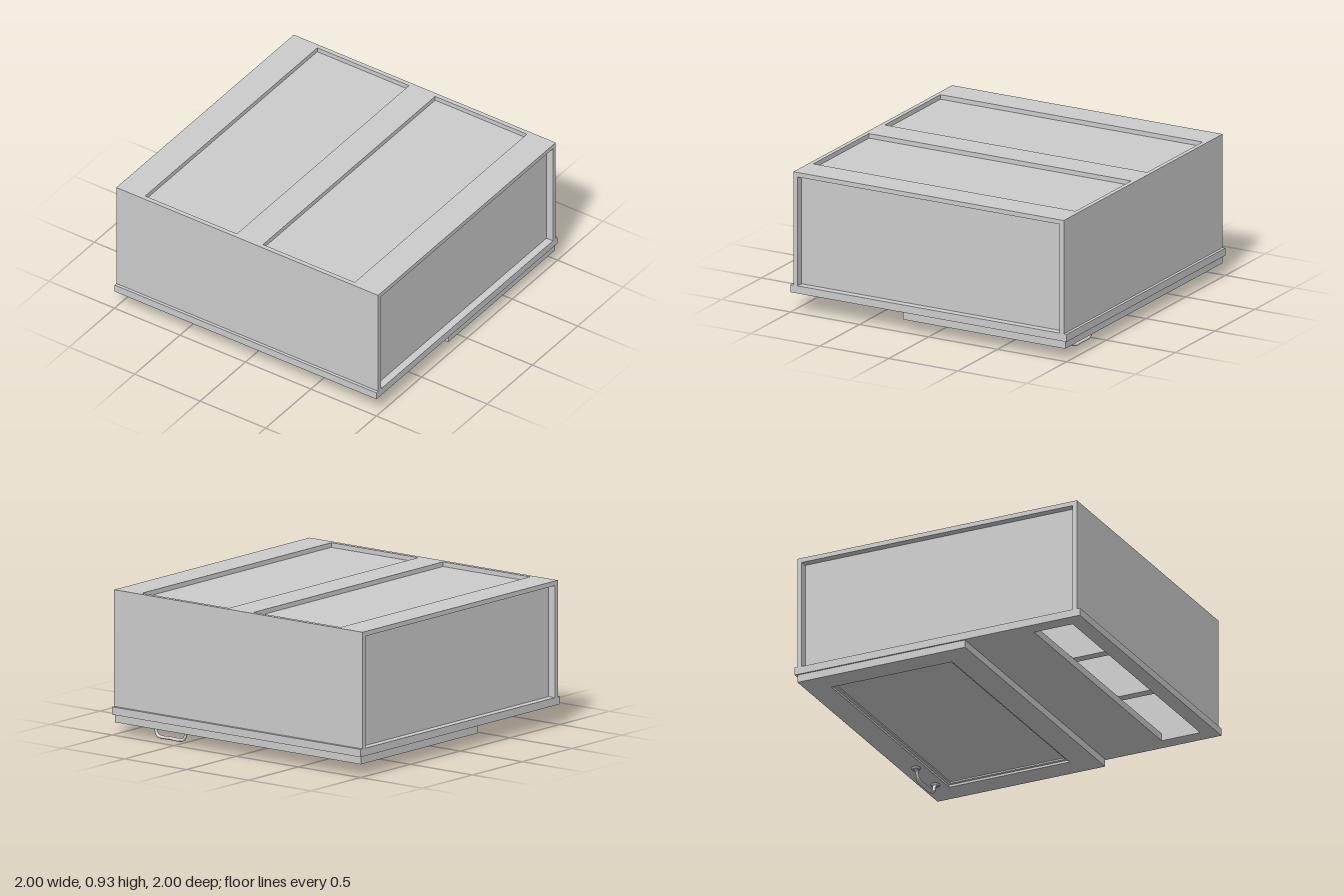
import * as THREE from 'three';

const mat = new THREE.MeshStandardMaterial({ color: 0xcccccc });

// Box given by its limits on each axis
function box(name, x0, x1, y0, y1, z0, z1) {
  const m = new THREE.Mesh(new THREE.BoxGeometry(x1 - x0, y1 - y0, z1 - z0), mat);
  m.position.set((x0 + x1) / 2, (y0 + y1) / 2, (z0 + z1) / 2);
  m.name = name;
  return m;
}

function rect(target, x0, x1, z0, z1) {
  target.moveTo(x0, z0).lineTo(x1, z0).lineTo(x1, z1).lineTo(x0, z1).closePath();
  return target;
}

// Flat board in the x-z plane with rectangular openings
function board(name, outer, holes, y0, y1) {
  const shape = rect(new THREE.Shape(), ...outer);
  for (const h of holes) shape.holes.push(rect(new THREE.Path(), ...h));
  const g = new THREE.ExtrudeGeometry(shape, { depth: y1 - y0, bevelEnabled: false });
  g.rotateX(Math.PI / 2).translate(0, y1, 0);
  const m = new THREE.Mesh(g, mat);
  m.name = name;
  return m;
}

// Bow handle: a swept bar that widens along its grip, with two feet
function makeHandle() {
  const handle = new THREE.Group();
  handle.name = 'handle';
  const half = [[0.15, 0.074], [0.128, 0.068], [0.115, 0.035], [0.105, 0.018], [0.085, 0.01]];
  const pts = [
    ...half.map(([x, y]) => new THREE.Vector3(-x, y, 0)),
    new THREE.Vector3(0, 0.01, 0),
    ...half.slice().reverse().map(([x, y]) => new THREE.Vector3(x, y, 0)),
  ];
  const g = new THREE.TubeGeometry(new THREE.CatmullRomCurve3(pts), 48, 0.01, 10);
  const p = g.attributes.position;
  for (let i = 0; i < p.count; i++) {
    const t = Math.abs(p.getY(i) - 0.042) / 0.042;
    p.setZ(i, p.getZ(i) * (1 + 1.2 * t * t));
  }
  g.computeVertexNormals();
  const bar = new THREE.Mesh(g, mat);
  bar.name = 'handleBar';
  handle.add(bar);
  for (const s of [-1, 1]) {
    const foot = new THREE.Mesh(new THREE.CylinderGeometry(0.03, 0.024, 0.012, 20), mat);
    foot.position.set(s * 0.138, 0.074, 0);
    foot.name = 'handleFoot';
    handle.add(foot);
  }
  handle.position.set(0.62, 0, -0.885);
  return handle;
}

export function createModel() {
  const model = new THREE.Group();
  model.name = 'cabinet';

  // Carcass: two full end panels and two inset side panels
  for (const s of [-1, 1]) {
    const z = [s * 0.95, s * 0.98].sort((a, b) => a - b);
    const x = [s * 0.9, s * 0.95].sort((a, b) => a - b);
    model.add(box('endPanel', -1, 1, 0.18, 0.93, ...z));
    model.add(box('sidePanel', ...x, 0.18, 0.9, -0.95, 0.95));
  }

  // Back: inset sheet covered by three nailing strips
  model.add(box('backPanel', -0.9, 0.9, 0.87, 0.9, -0.95, 0.95));
  for (const [a, b] of [[-1, -0.8], [-0.1, 0.1], [0.8, 1]]) {
    model.add(box('backStrip', a, b, 0.9, 0.93, -0.95, 0.95));
  }

  // Inner dividers
  for (const x of [-0.32, 0.32]) {
    model.add(box('divider', x - 0.03, x + 0.03, 0.18, 0.87, -0.95, 0.95));
  }

  // Face frame with the open slot and the doorway behind the door
  model.add(board('faceFrame', [-1, 1, -1, 1],
    [[-0.9, 0.9, 0.63, 0.9], [-0.9, 0.9, -0.9, 0.1]], 0.13, 0.18));

  // Door: frame, stepped molding and recessed panel
  const door = new THREE.Group();
  door.name = 'door';
  const rim = [-0.99, 0.99, -0.985, 0.19];
  door.add(board('doorFrame', rim, [[-0.83, 0.83, -0.825, 0.02]], 0.08, 0.13));
  door.add(board('doorMolding', [-0.83, 0.83, -0.825, 0.02],
    [[-0.81, 0.81, -0.805, 0]], 0.095, 0.13));
  door.add(box('doorPanel', -0.81, 0.81, 0.105, 0.13, -0.805, 0));
  model.add(door);

  model.add(makeHandle());
  return model;
}
